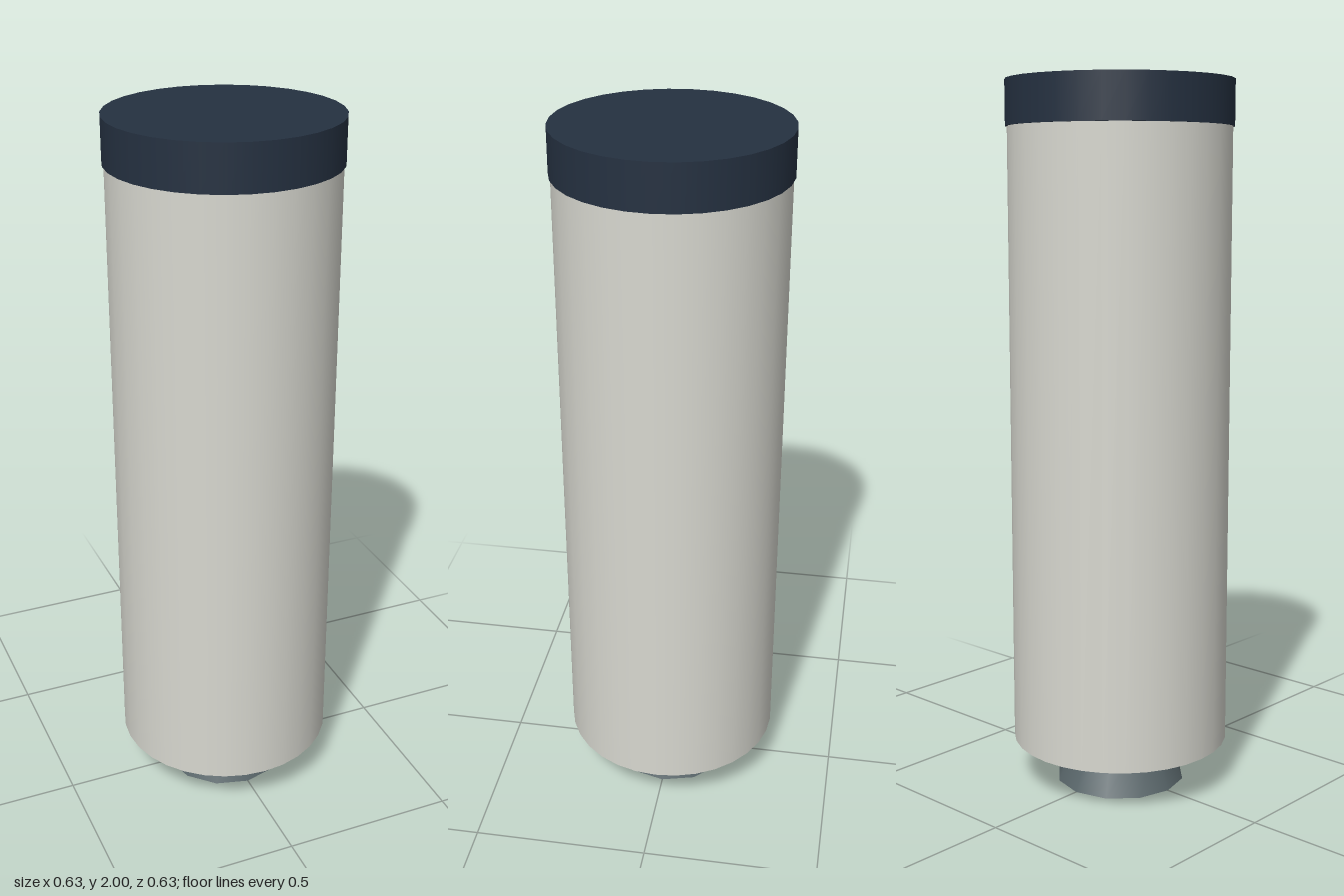
import * as THREE from 'three';

const paint = (name, color) => {
  const material = new THREE.MeshStandardMaterial({ color });
  material.name = name;
  return material;
};

export function createModel() {
  const group = new THREE.Group();
  group.name = 'boosterStage';

  const white = paint('warm white', 0xd8d8d0);
  const navy = paint('dark navy', 0x253141);
  const steel = paint('dark steel', 0x59666a);

  // Upright round part between two heights
  const addRound = (name, rTop, rBottom, y0, y1, sides, material) => {
    const geometry = new THREE.CylinderGeometry(rTop, rBottom, y1 - y0, sides);
    const mesh = new THREE.Mesh(geometry, material);
    mesh.name = name;
    mesh.position.y = (y0 + y1) / 2;
    group.add(mesh);
  };

  addRound('nozzle', 0.13, 0.187, 0, 0.135, 12, steel);
  addRound('body', 0.31, 0.31, 0.13, 1.88, 32, white);
  addRound('topCap', 0.315, 0.315, 1.875, 2, 32, navy);

  return group;
}
